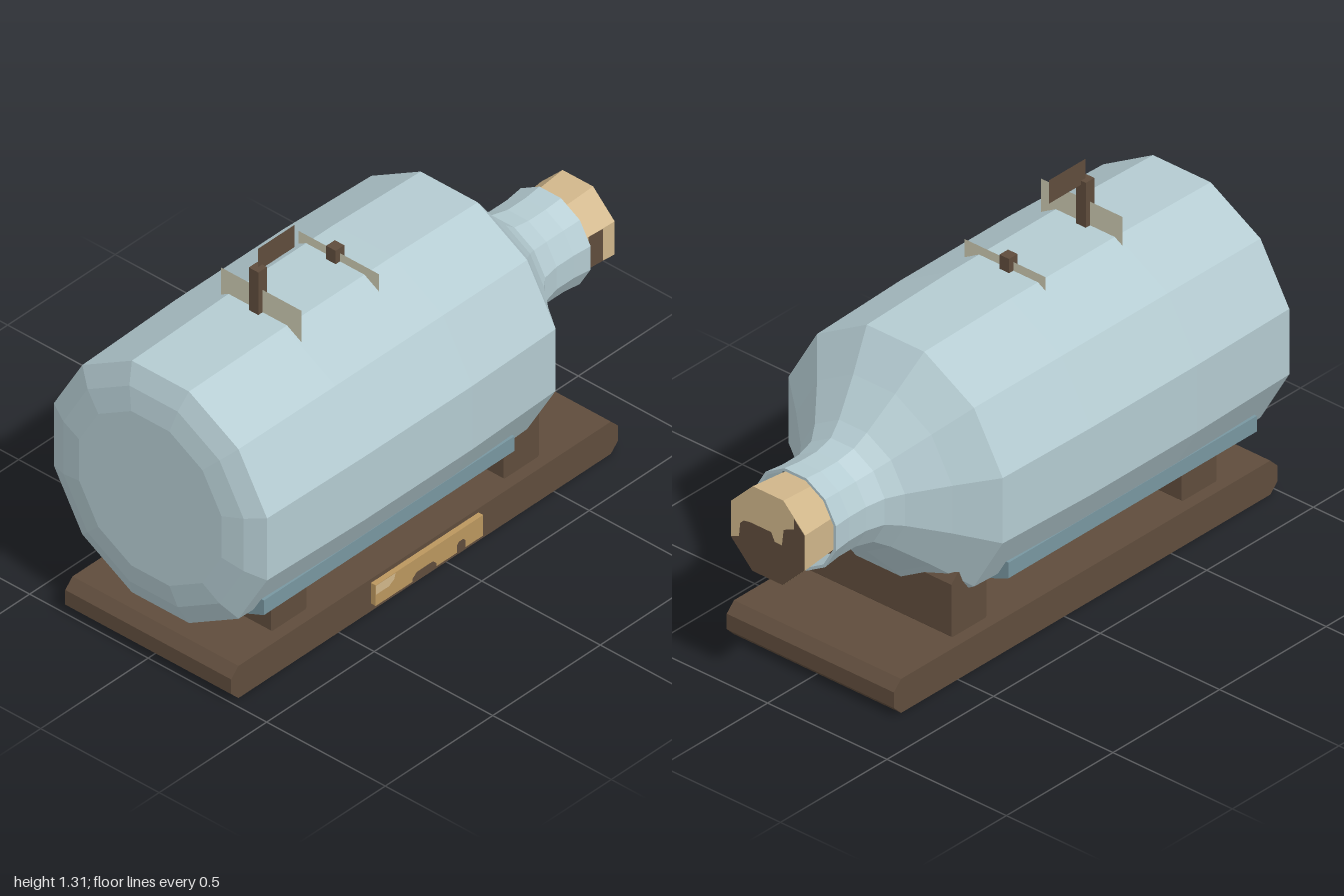
import * as THREE from 'three';

const mat = (name, color, side = THREE.FrontSide) => {
  const m = new THREE.MeshStandardMaterial({ color, side });
  m.name = name;
  return m;
};

// Split shared vertices so every facet is flat
const faceted = (geo) => {
  const g = geo.index ? geo.toNonIndexed() : geo;
  g.computeVertexNormals();
  return g;
};

const polygon = (pts) => new THREE.Shape(pts.map(([x, y]) => new THREE.Vector2(x, y)));

// Block with its four long edges chamfered, extruded along z
function chamferedBlock(x0, x1, y0, y1, halfDepth, c) {
  const shape = polygon([
    [x0 + c, y0], [x1 - c, y0], [x1, y0 + c], [x1, y1 - c],
    [x1 - c, y1], [x0 + c, y1], [x0, y1 - c], [x0, y0 + c],
  ]);
  return new THREE.ExtrudeGeometry(shape, { depth: halfDepth * 2, bevelEnabled: false })
    .translate(0, 0, -halfDepth);
}

export function createModel() {
  const model = new THREE.Group();
  model.name = 'shipInBottle';

  const glass = mat('paleBlueGlass', 0xb4cbd1);
  const wood = mat('darkWood', 0x5f4c3c, THREE.DoubleSide);
  const corkTan = mat('cork', 0xd0b68a);
  const brass = mat('brass', 0xba965e);
  const canvas = mat('sailCloth', 0xcac8b0, THREE.DoubleSide);
  const sea = mat('seaBlue', 0x7896a0);

  const add = (name, geo, material, x = 0, y = 0, z = 0, parent = model) => {
    const mesh = new THREE.Mesh(geo, material);
    mesh.name = name;
    mesh.position.set(x, y, z);
    parent.add(mesh);
    return mesh;
  };

  const axisY = 0.615;

  // Wooden stand
  add('base', chamferedBlock(-1, 0.8, 0, 0.125, 0.35, 0.034), wood);
  for (const [name, x] of [['rearCradle', -0.765], ['neckCradle', 0.315]]) {
    add(name, chamferedBlock(x, x + 0.165, 0.1, 0.35, 0.305, 0.03), wood);
  }

  // Plaque on the front edge of the base, with worn patches
  add('plaque', new THREE.BoxGeometry(0.5, 0.08, 0.02), brass, -0.1, 0.07, 0.36);
  const patch = (name, pts, material) =>
    add(name, new THREE.ShapeGeometry(polygon(pts)), material, 0, 0, 0.372);
  patch('plaqueShine', [[-0.35, 0.075], [-0.29, 0.075], [-0.265, 0.09], [-0.26, 0.11], [-0.35, 0.11]], corkTan);
  patch('plaqueStainLarge', [[-0.18, 0.03], [-0.07, 0.03], [-0.07, 0.045], [-0.085, 0.06], [-0.16, 0.06], [-0.18, 0.045]], wood);
  patch('plaqueStainSmall', [[0.025, 0.03], [0.065, 0.03], [0.065, 0.06], [0.055, 0.07], [0.035, 0.07], [0.025, 0.06]], wood);

  // Twelve-sided bottle lying along x; profile is [position, flat-to-centre radius]
  const profile = [
    [-0.99, 0], [-0.99, 0.3], [-0.975, 0.38], [-0.943, 0.45], [-0.5, 0.46], [0, 0.46],
    [0.4, 0.449], [0.5, 0.327], [0.6, 0.218], [0.65, 0.178], [0.72, 0.163],
    [0.8, 0.163], [0.87, 0.17], [0.87, 0.16], [0.8, 0.148],
  ].map(([x, r]) => new THREE.Vector2(r / Math.cos(Math.PI / 12), x));
  const bottle = faceted(new THREE.LatheGeometry(profile, 12, Math.PI / 12)).rotateZ(-Math.PI / 2);
  add('bottle', bottle, glass, 0, axisY);

  // Eight-sided tapered cork: three lower facets dark, the rest tan
  const cork = new THREE.Group();
  cork.name = 'stopper';
  cork.position.y = axisY;
  model.add(cork);
  const corkSide = new THREE.CylinderGeometry(0.168, 0.151, 0.198, 8, 1, true, Math.PI / 8);
  corkSide.clearGroups();
  for (let i = 0; i < 8; i++) corkSide.addGroup(i * 6, 6, i < 3 ? 1 : 0);
  add('corkSides', faceted(corkSide).rotateZ(-Math.PI / 2), [corkTan, wood], 0.899, 0, 0, cork);
  add('corkEnd', new THREE.CircleGeometry(0.168, 8, Math.PI / 8).rotateY(Math.PI / 2), corkTan, 0.998, 0, 0, cork);
  const stain = polygon([
    [-0.155, -0.064], [-0.12, -0.05], [-0.115, 0], [-0.1, 0.015], [-0.075, 0.02], [0.015, 0.02],
    [0.03, -0.01], [0.06, -0.01], [0.067, 0.05], [0.11, 0.07], [0.11, 0.109],
    [0.155, 0.064], [0.155, -0.064], [0.064, -0.155], [-0.064, -0.155],
  ]);
  add('corkEndStain', new THREE.ShapeGeometry(stain).rotateY(Math.PI / 2), wood, 1, 0, 0, cork);
  const band = add('corkSideStain', new THREE.PlaneGeometry(0.062, 0.124), wood, 0.915, 0, 0.15, cork);
  band.rotation.y = -Math.atan(0.079);

  // Sea slab whose long edges show through the sides of the bottle
  const seaShape = polygon([
    [-0.375, 0.342], [-0.375, 0.285], [-0.29, 0.25], [0.29, 0.25], [0.375, 0.285], [0.375, 0.342],
  ]);
  const seaGeo = new THREE.ExtrudeGeometry(seaShape, { depth: 1.165, bevelEnabled: false }).rotateY(Math.PI / 2);
  add('sea', seaGeo, sea, -0.875);

  // Ship: hull within the bottle, masts and sails rising through the top
  const hull = new THREE.ExtrudeGeometry(
    polygon([[-0.7, 0.34], [0, 0.34], [0.15, 0.5], [-0.75, 0.5]]),
    { depth: 0.2, bevelEnabled: false }).translate(0, 0, -0.1);
  add('hull', hull, wood);
  for (const [name, x, mastTop, sailTop] of [['main', -0.49, 1.24, 1.162], ['fore', -0.13, 1.127, 1.107]]) {
    add(name + 'Mast', new THREE.BoxGeometry(0.04, mastTop - 0.5, 0.04), wood, x, (mastTop + 0.5) / 2);
    add(name + 'Sail', new THREE.PlaneGeometry(0.34, sailTop - 0.65).rotateY(Math.PI / 2),
      canvas, x, (sailTop + 0.65) / 2, 0.015);
  }
  add('flag', new THREE.PlaneGeometry(0.17, 0.086), wood, -0.405, 1.268);

  return model;
}
